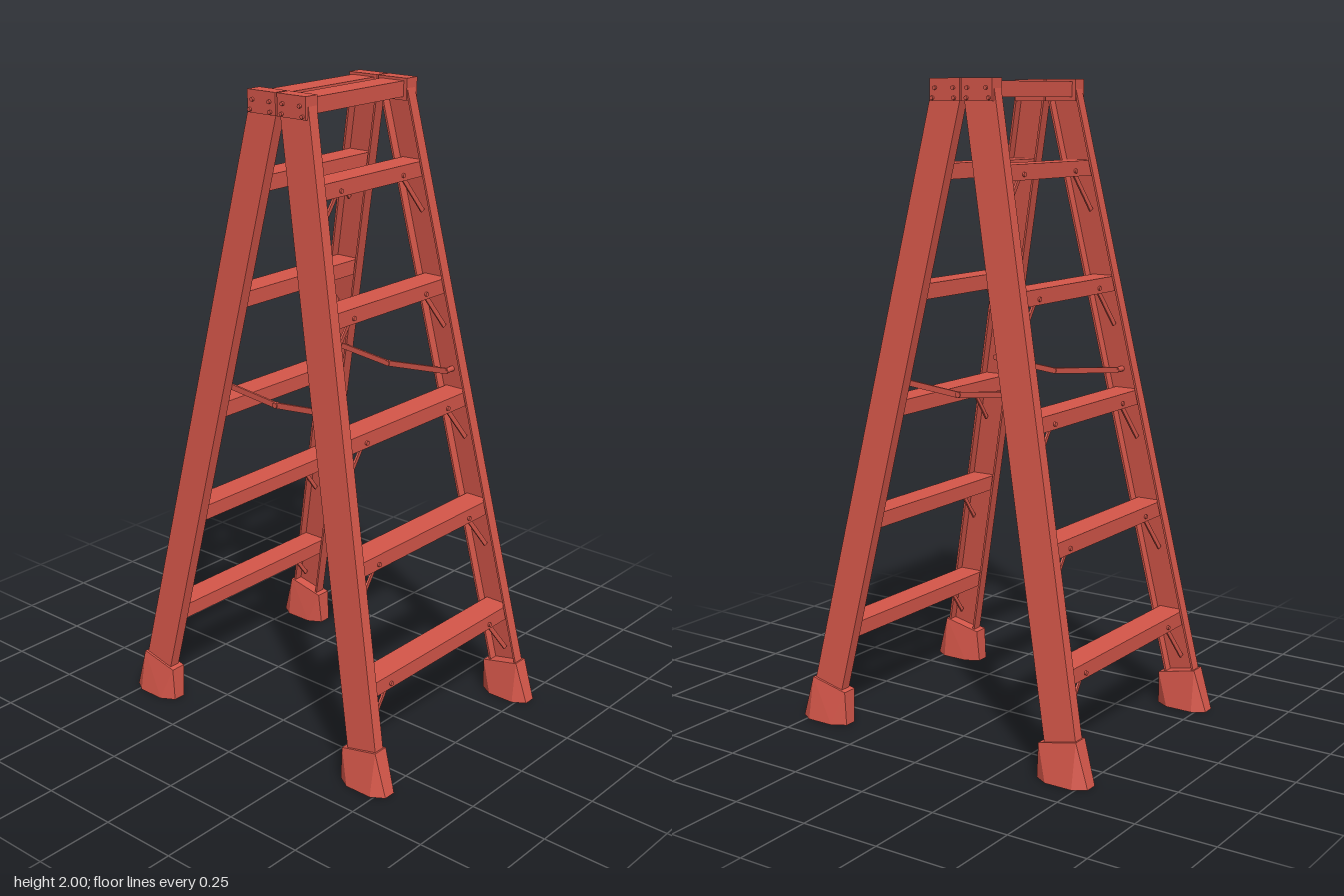
import * as THREE from 'three';
import { mergeGeometries } from 'three/addons/utils/BufferGeometryUtils.js';
import { ConvexGeometry } from 'three/addons/geometries/ConvexGeometry.js';

const red = new THREE.MeshStandardMaterial({ color: 0xd6574a });
red.name = 'ladder red';

// Centre line of a rail at height y
const railX = (y) => 0.37 - 0.0755 * y;
const railZ = (y) => 0.456 - 0.203 * y;

function add(parent, name, geometry) {
  const mesh = new THREE.Mesh(geometry, red);
  mesh.name = name;
  parent.add(mesh);
  return mesh;
}

function box(w, h, d, x, y, z) {
  return new THREE.BoxGeometry(w, h, d).translate(x, y, z);
}

// Upright bar that leans along the rail centre line, offset by dx, dz
function leaningBar(w, d, y0, y1, dx, dz, side) {
  const g = box(w, y1 - y0, d, side * dx, (y0 + y1) / 2, dz);
  const p = g.attributes.position;
  for (let i = 0; i < p.count; i++) {
    const y = p.getY(i);
    p.setX(i, p.getX(i) + side * railX(y));
    p.setZ(i, p.getZ(i) + railZ(y));
  }
  g.computeVertexNormals();
  return g;
}

// Flat strip between two points
function strip(a, b, w, d) {
  const dir = b.clone().sub(a);
  const g = new THREE.BoxGeometry(w, dir.length(), d);
  g.applyQuaternion(new THREE.Quaternion().setFromUnitVectors(
    new THREE.Vector3(0, 1, 0), dir.clone().normalize()));
  const c = a.clone().add(b).multiplyScalar(0.5);
  return g.translate(c.x, c.y, c.z);
}

function rivet(axis, r, length, x, y, z) {
  const g = new THREE.CylinderGeometry(r, r, length, 8);
  if (axis === 'x') g.rotateZ(Math.PI / 2);
  else g.rotateX(Math.PI / 2);
  return g.translate(x, y, z);
}

// Channel rail open towards the steps
function rail(side) {
  return mergeGeometries([
    leaningBar(0.007, 0.11, 0.03, 1.985, 0.0145, 0, side),
    leaningBar(0.036, 0.007, 0.03, 1.985, 0, 0.0515, side),
    leaningBar(0.036, 0.007, 0.03, 1.985, 0, -0.0515, side),
  ]);
}

// Boot with an eight-sided sole tapering to a slanted rectangular top
function foot(side) {
  const sole = [
    [0.345, 0.53], [0.385, 0.53], [0.41, 0.49], [0.41, 0.4],
    [0.385, 0.357], [0.345, 0.357], [0.32, 0.4], [0.32, 0.49],
  ];
  const pts = sole.map(([x, z]) => new THREE.Vector3(side * x, 0, z));
  for (const x of [0.336, 0.386]) {
    pts.push(new THREE.Vector3(side * x, 0.135, 0.49));
    pts.push(new THREE.Vector3(side * x, 0.107, 0.362));
  }
  return new ConvexGeometry(pts);
}

// Tread with front and rear aprons
function step(y) {
  const w = 2 * (railX(y) + 0.009);
  const z = railZ(y);
  return mergeGeometries([
    box(w, 0.007, 0.086, 0, y + 0.0205, z),
    box(w, 0.04, 0.006, 0, y - 0.003, z + 0.04),
    box(w, 0.04, 0.006, 0, y - 0.003, z - 0.04),
  ]);
}

// One climbing frame: rails, boots, steps and braces
function frame() {
  const g = new THREE.Group();
  for (const s of [1, -1]) {
    add(g, 'rail', rail(s));
    add(g, 'foot', foot(s));

    // Cap at the top of the rail, with its rivets
    add(g, 'topCap', box(0.05, 0.066, 0.108, s * 0.225, 1.967, 0.057));
    for (const [z, y] of [[0.09, 1.972], [0.025, 1.972], [0.1, 1.943], [0.022, 1.943]]) {
      add(g, 'capRivet', rivet('x', 0.006, 0.012, s * 0.251, y, z));
    }
  }

  add(g, 'topStep', step(1.968));
  for (let i = 0; i < 5; i++) {
    const y = 0.3 + i * 0.3575;
    add(g, 'step', step(y));
    const z = railZ(y);
    for (const s of [1, -1]) {
      const x = railX(y);
      add(g, 'brace', strip(
        new THREE.Vector3(s * (x - 0.098), y - 0.002, z + 0.033),
        new THREE.Vector3(s * (x + 0.004), y - 0.13, z + 0.04), 0.014, 0.006));
      add(g, 'stepRivet', rivet('z', 0.007, 0.01, s * (x - 0.097), y - 0.006, z + 0.044));
    }
  }
  return g;
}

export function createModel() {
  const model = new THREE.Group();
  model.name = 'stepLadder';

  const front = frame();
  front.name = 'frontFrame';
  const back = frame();
  back.name = 'backFrame';
  back.rotation.y = Math.PI;
  model.add(front, back);

  // Folding spreader bars, slightly sagging at the hinge
  for (const s of [1, -1]) {
    const hinge = new THREE.Vector3(s * 0.266, 1.076, 0);
    for (const e of [1, -1]) {
      const end = new THREE.Vector3(s * 0.266, 1.1, e * 0.235);
      add(model, 'spreaderBar', strip(hinge, end, 0.007, 0.018));
      add(model, 'spreaderPin', rivet('x', 0.009, 0.04, s * 0.283, 1.1, e * 0.232));
    }
    add(model, 'spreaderHinge', rivet('x', 0.009, 0.014, s * 0.266, 1.077, 0));
  }
  return model;
}
